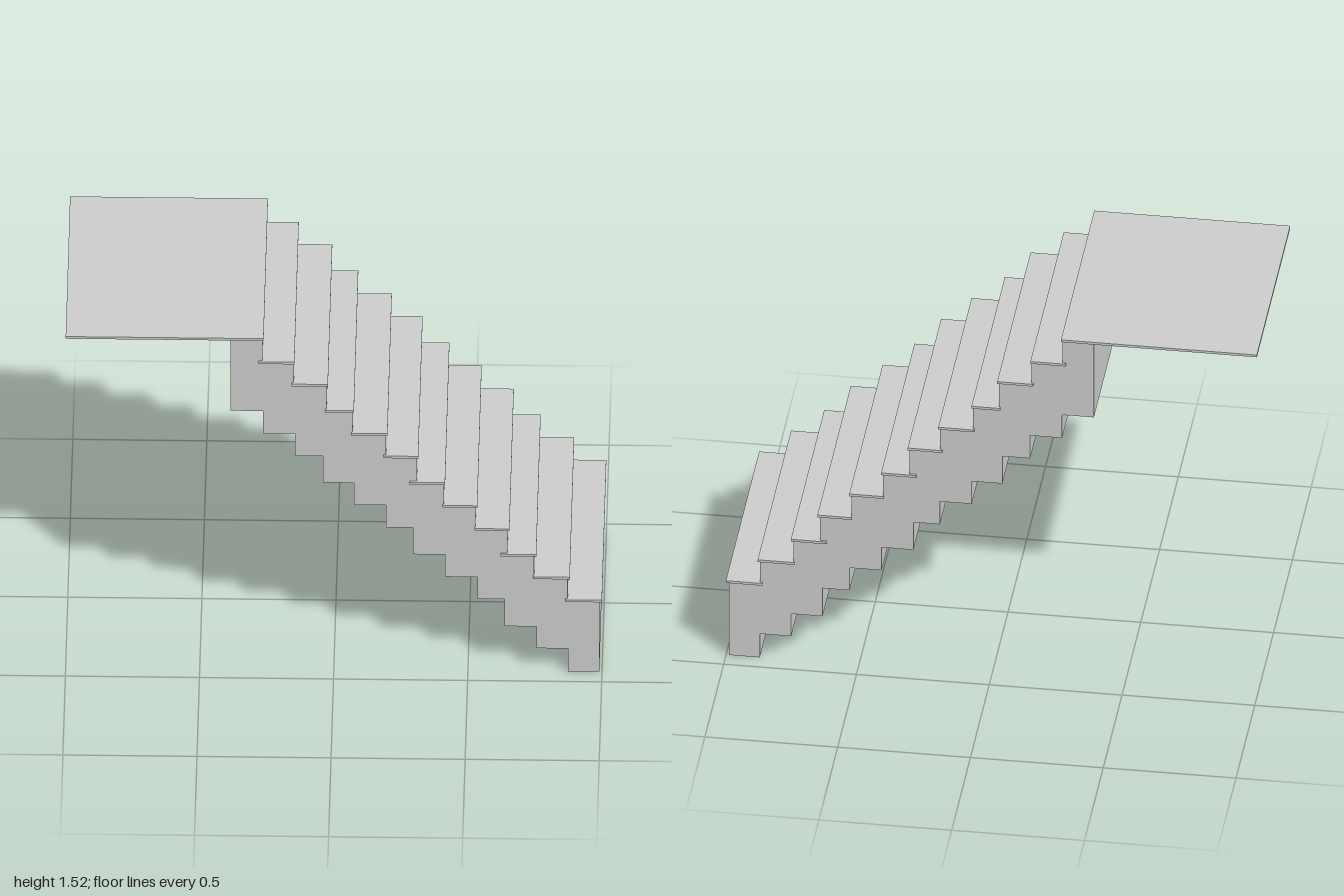
import * as THREE from 'three';

// One row per step, from the foot up:
// [tread back x, tread nose x, tread top y, riser x, block back x, block underside y]
const STEPS = [
  [0.862, 1.0, 0.336, 0.99, 0.873, 0],
  [0.742, 0.88, 0.44, 0.872, 0.755, 0.105],
  [0.622, 0.755, 0.543, 0.747, 0.637, 0.205],
  [0.525, 0.655, 0.66, 0.647, 0.535, 0.33],
  [0.405, 0.535, 0.765, 0.528, 0.415, 0.43],
  [0.283, 0.415, 0.87, 0.41, 0.295, 0.532],
  [0.185, 0.315, 0.99, 0.31, 0.195, 0.655],
  [0.065, 0.2, 1.093, 0.195, 0.075, 0.757],
  [-0.033, 0.075, 1.198, 0.07, -0.04, 0.858],
  [-0.157, -0.022, 1.317, -0.027, -0.145, 0.98],
  [-0.28, -0.147, 1.418, -0.15, -0.265, 1.082],
  [-1.0, -0.262, 1.525, -0.267, -0.385, 1.185],
];
const SLAB = 0.01;
const BODY_WIDTH = 0.87;
const TREAD_WIDTH = 0.888;

export function createModel() {
  const group = new THREE.Group();
  const material = new THREE.MeshStandardMaterial({ color: 0xcccccc });

  // Solid flight: stepped along the top and along the underside
  const outline = [];
  for (const [, , top, riser, , under] of STEPS) {
    const previous = outline.length ? outline[outline.length - 1].y : under;
    outline.push(new THREE.Vector2(riser, previous), new THREE.Vector2(riser, top - SLAB));
  }
  for (let i = STEPS.length - 1; i >= 0; i--) {
    const [, , top, , back, under] = STEPS[i];
    const above = i === STEPS.length - 1 ? top - SLAB : STEPS[i + 1][5];
    outline.push(new THREE.Vector2(back, above), new THREE.Vector2(back, under));
  }
  const bodyGeometry = new THREE.ExtrudeGeometry(new THREE.Shape(outline), {
    depth: BODY_WIDTH,
    bevelEnabled: false,
  });
  bodyGeometry.translate(0, 0, -BODY_WIDTH / 2);
  const body = new THREE.Mesh(bodyGeometry, material);
  body.name = 'stairBody';
  group.add(body);

  // Thin overhanging treads; the last one extends into the landing
  STEPS.forEach(([back, nose, top], i) => {
    const slab = new THREE.Mesh(new THREE.BoxGeometry(nose - back, SLAB, TREAD_WIDTH), material);
    slab.position.set((back + nose) / 2, top - SLAB / 2, 0);
    slab.name = i === STEPS.length - 1 ? 'landing' : `tread${i + 1}`;
    group.add(slab);
  });

  return group;
}
